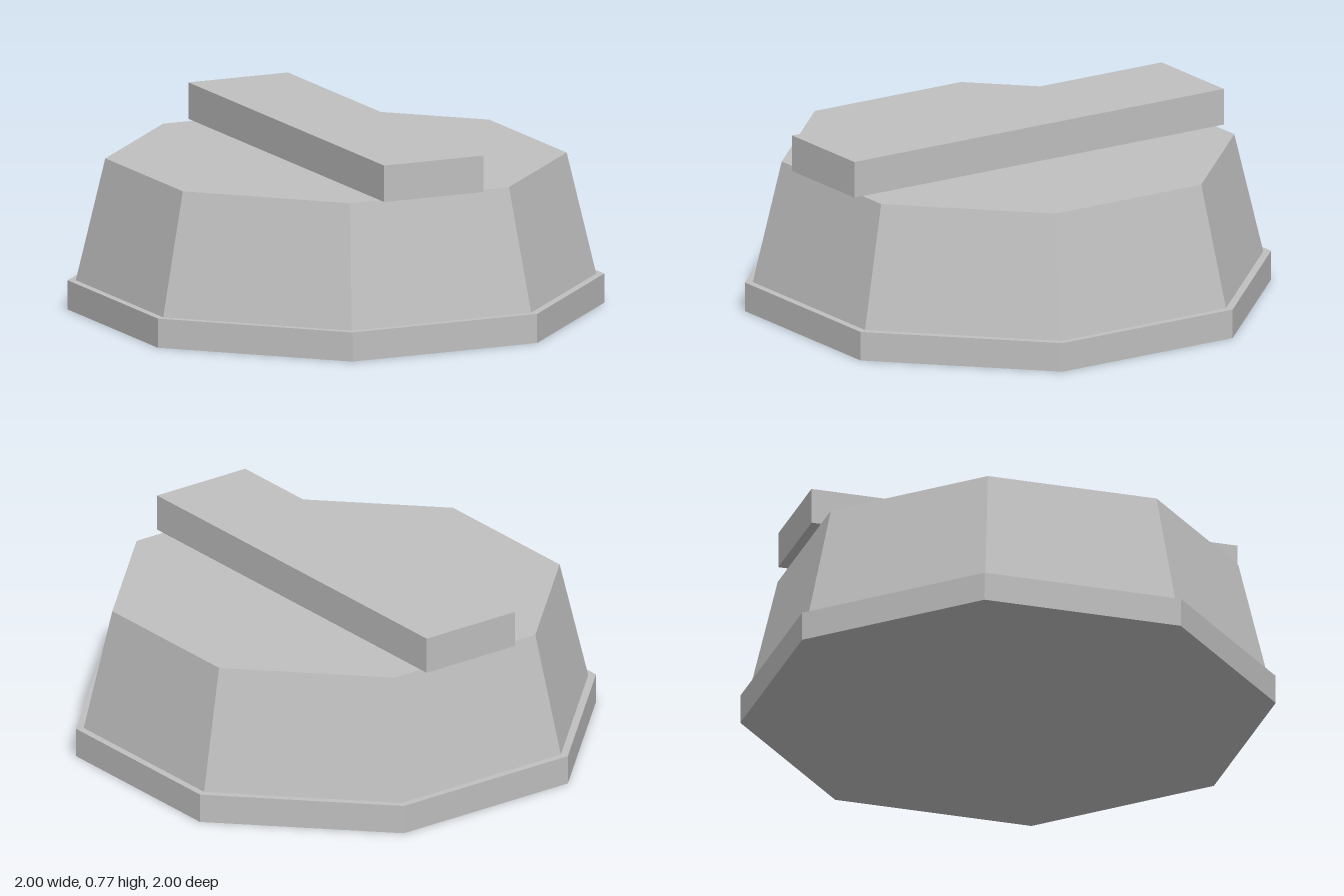
import * as THREE from 'three';

export function createModel() {
  const group = new THREE.Group();
  const grey = new THREE.MeshStandardMaterial({ color: 0xc0c0c0, flatShading: true });
  grey.name = 'grey';

  const add = (name, geometry, y) => {
    const mesh = new THREE.Mesh(geometry, grey);
    mesh.name = name;
    mesh.position.y = y;
    group.add(mesh);
  };

  // Octagonal frustum with flat sides facing the axes, sized by its half-widths
  const octagon = (top, bottom, height) => {
    const k = 1 / Math.cos(Math.PI / 8);
    return new THREE.CylinderGeometry(top * k, bottom * k, height, 8).rotateY(Math.PI / 8);
  };

  // Base flange
  add('baseFlange', octagon(1, 1, 0.12), 0.06);
  // Tapered body
  add('taperedBody', octagon(0.86, 0.97, 0.5), 0.37);
  // Bar across the top, overhanging front and back
  add('topBar', new THREE.BoxGeometry(0.445, 0.15, 1.8), 0.695);

  return group;
}
